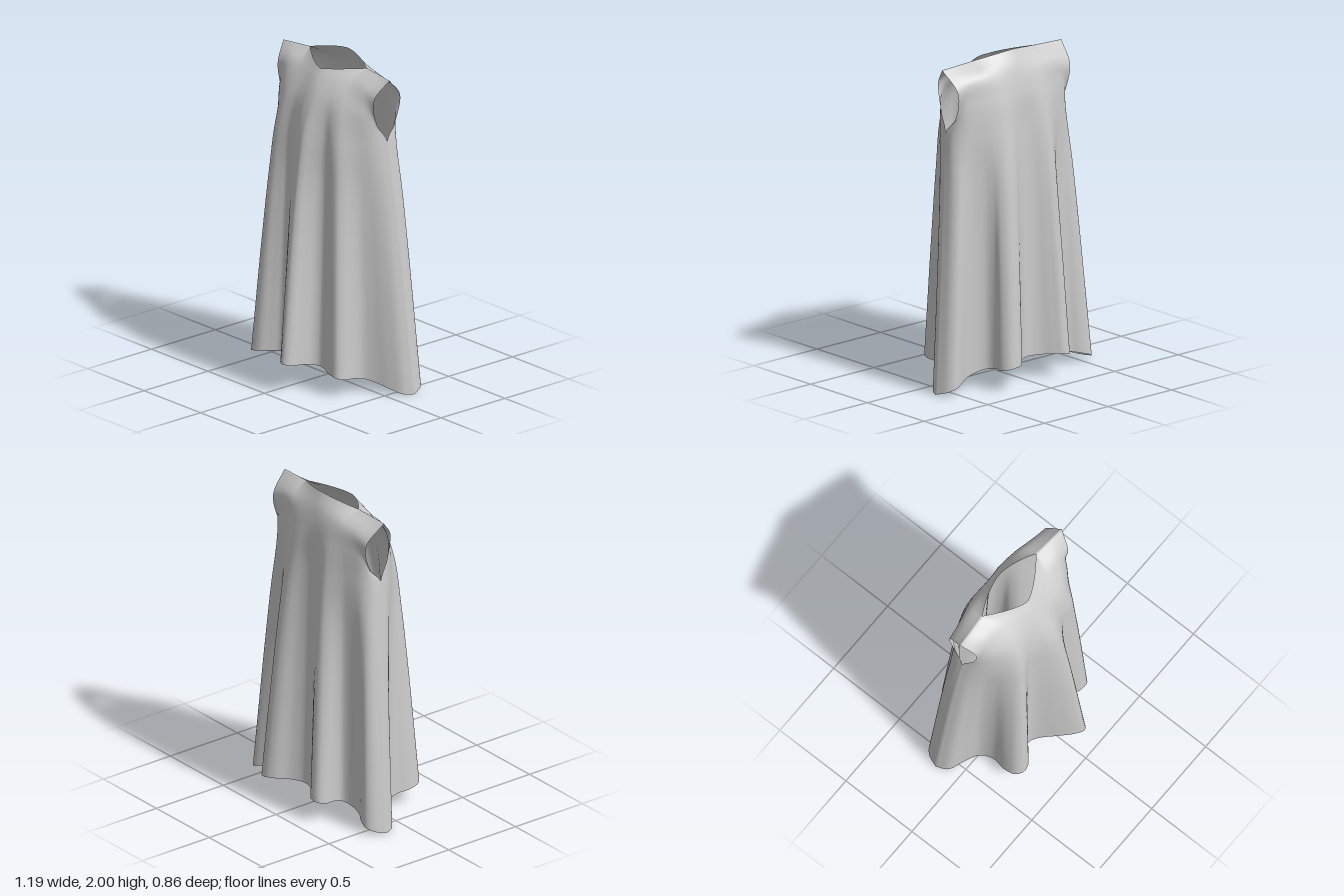
import * as THREE from 'three';
import { mergeGeometries, mergeVertices } from 'three/addons/utils/BufferGeometryUtils.js';

const COLS = 150, ROWS = 84;
const V = (x, y, z) => new THREE.Vector3(x, y, z);

// Wavy hem in plan, [x, z], each run from the -x side seam to the +x one
const FRONT_HEM = [
  [-0.598, -0.15], [-0.565, -0.08], [-0.48, -0.03], [-0.405, 0.02], [-0.372, 0.1], [-0.385, 0.2], [-0.372, 0.27],
  [-0.33, 0.303], [-0.28, 0.295], [-0.23, 0.25], [-0.18, 0.212], [-0.13, 0.235], [-0.04, 0.33], [0.03, 0.4],
  [0.08, 0.428], [0.113, 0.4], [0.12, 0.33], [0.13, 0.25], [0.17, 0.212], [0.22, 0.222], [0.28, 0.24],
  [0.34, 0.235], [0.365, 0.19], [0.36, 0.12], [0.37, 0.06], [0.42, 0.01], [0.5, -0.04], [0.565, -0.09], [0.597, -0.15],
];
const BACK_HEM = [
  [-0.598, -0.15], [-0.57, -0.22], [-0.53, -0.25], [-0.47, -0.237], [-0.41, -0.205], [-0.33, -0.2], [-0.272, -0.225],
  [-0.262, -0.27], [-0.27, -0.34], [-0.25, -0.385], [-0.2, -0.396], [-0.15, -0.36], [-0.08, -0.305], [0, -0.287],
  [0.08, -0.33], [0.15, -0.41], [0.2, -0.43], [0.25, -0.412], [0.275, -0.36], [0.25, -0.3], [0.265, -0.24],
  [0.33, -0.205], [0.4, -0.205], [0.46, -0.232], [0.52, -0.252], [0.565, -0.225], [0.597, -0.15],
];

// Upper body sections, half of each from the -x edge to the centre, [x, y, z]
const FRONT_BODY = [
  [[-0.445, 1.56, -0.07], [-0.42, 1.56, 0.0], [-0.35, 1.56, 0.09], [-0.24, 1.56, 0.175], [-0.12, 1.56, 0.205], [0, 1.56, 0.215]],
  [[-0.424, 1.67, -0.008], [-0.39, 1.72, 0.035], [-0.33, 1.75, 0.08], [-0.2, 1.75, 0.135], [0, 1.75, 0.157]],
  [[-0.428, 1.83, 0.017], [-0.34, 1.87, 0.025], [-0.23, 1.88, 0.035], [-0.12, 1.87, 0.075], [0, 1.86, 0.105]],
];
const BACK_BODY = [
  [[-0.445, 1.56, -0.07], [-0.438, 1.56, -0.13], [-0.37, 1.56, -0.195], [-0.24, 1.56, -0.25], [0, 1.56, -0.265]],
  [[-0.432, 1.65, -0.138], [-0.4, 1.71, -0.17], [-0.34, 1.75, -0.195], [-0.2, 1.75, -0.235], [0, 1.75, -0.245]],
  [[-0.442, 1.82, -0.173], [-0.34, 1.87, -0.175], [-0.2, 1.89, -0.195], [0, 1.9, -0.205]],
];

const spline = (pts) => {
  const curve = new THREE.CatmullRomCurve3(pts);
  curve.arcLengthDivisions = 600;
  return curve;
};
// The hem hangs lowest at the sides and rises to the front and back
const hemCurve = (pts) => spline(pts.map(([x, z]) => V(x, 0.115 + 0.14 * Math.abs(z + 0.08) - 0.35 * x * x, z)));
const bodyCurve = (half) => spline([
  ...half.map(([x, y, z]) => V(x, y, z)),
  ...half.slice(0, -1).reverse().map(([x, y, z]) => V(-x, y, z)),
]);

// Top edge: shoulder seam outside, neckline inside
function topEdge(u, front) {
  const s = Math.abs(2 * u - 1), side = Math.sign(2 * u - 1), neck = 0.52;
  if (s > neck) {
    const t = (s - neck) / (1 - neck);
    return V(side * (0.25 + 0.22 * t), 1.96 - 0.015 * t, -0.08 + 0.015 * t);
  }
  const t = s / neck;
  return front
    ? V(side * 0.25 * t, 1.925 + 0.035 * t, 0.06 - 0.14 * t ** 1.4)
    : V(side * 0.25 * t, 2.0 - 0.04 * t ** 1.5, -0.155 + 0.075 * t ** 1.7);
}

// Point between hem and chest, with separate weights per axis
const between = (a, b, wx, wy, wz) => V(
  THREE.MathUtils.lerp(a.x, b.x, wx), THREE.MathUtils.lerp(a.y, b.y, wy), THREE.MathUtils.lerp(a.z, b.z, wz));

// One cloth panel: a grid of columns rising from the hem to the top edge
function panel(hemPts, body, front) {
  const hem = hemCurve(hemPts), sections = body.map(bodyCurve);
  const position = [], index = [];
  for (let i = 0; i <= COLS; i++) {
    const u = i / COLS, s = Math.abs(2 * u - 1);
    const low = hem.getPointAt(u);
    const [chest, upper, collar] = sections.map((c) => c.getPointAt(u));
    // The folds fade out upward, leaving a faint ripple at the chest
    const around = hem.getPointAt(Math.max(0, u - 0.1)).z + hem.getPointAt(Math.min(1, u + 0.1)).z;
    const ripple = (low.z - around / 2) * (1 - s * s);
    chest.z += 0.17 * ripple;
    upper.z += 0.05 * ripple;
    const mid = between(low, chest, 0.47, 0.5, 0.41);
    const high = between(low, chest, 0.76, 0.79, 0.7);
    const stops = [low, mid, high, chest, upper, collar, topEdge(u, front)];
    const column = new THREE.CatmullRomCurve3(stops);
    // Below the armholes the panel edges run straight so both panels meet
    const straight = s ** 16;
    for (let j = 0; j <= ROWS; j++) {
      const k = 6 * j / ROWS, p = column.getPoint(j / ROWS);
      if (k < 3) {
        const n = Math.floor(k);
        p.lerp(stops[n].clone().lerp(stops[n + 1], k - n), straight);
      }
      position.push(p.x, p.y, p.z);
    }
  }
  for (let i = 0; i < COLS; i++) {
    for (let j = 0; j < ROWS; j++) {
      const a = i * (ROWS + 1) + j, b = a + ROWS + 1;
      if (front) index.push(a, b, b + 1, a, b + 1, a + 1);
      else index.push(a, b + 1, b, a, a + 1, b + 1);
    }
  }
  const geometry = new THREE.BufferGeometry();
  geometry.setAttribute('position', new THREE.Float32BufferAttribute(position, 3));
  geometry.setIndex(index);
  return geometry;
}

export function createModel() {
  const group = new THREE.Group();
  group.name = 'sleevelessDress';
  // Front and back are sewn at the shoulders and sides, leaving neck and armholes open
  const cloth = mergeVertices(mergeGeometries([
    panel(FRONT_HEM, FRONT_BODY, true),
    panel(BACK_HEM, BACK_BODY, false),
  ]), 1e-4);
  cloth.computeVertexNormals();
  const material = new THREE.MeshStandardMaterial({ color: 0xcccccc, side: THREE.DoubleSide });
  const dress = new THREE.Mesh(cloth, material);
  dress.name = 'drapedCloth';
  group.add(dress);
  return group;
}
